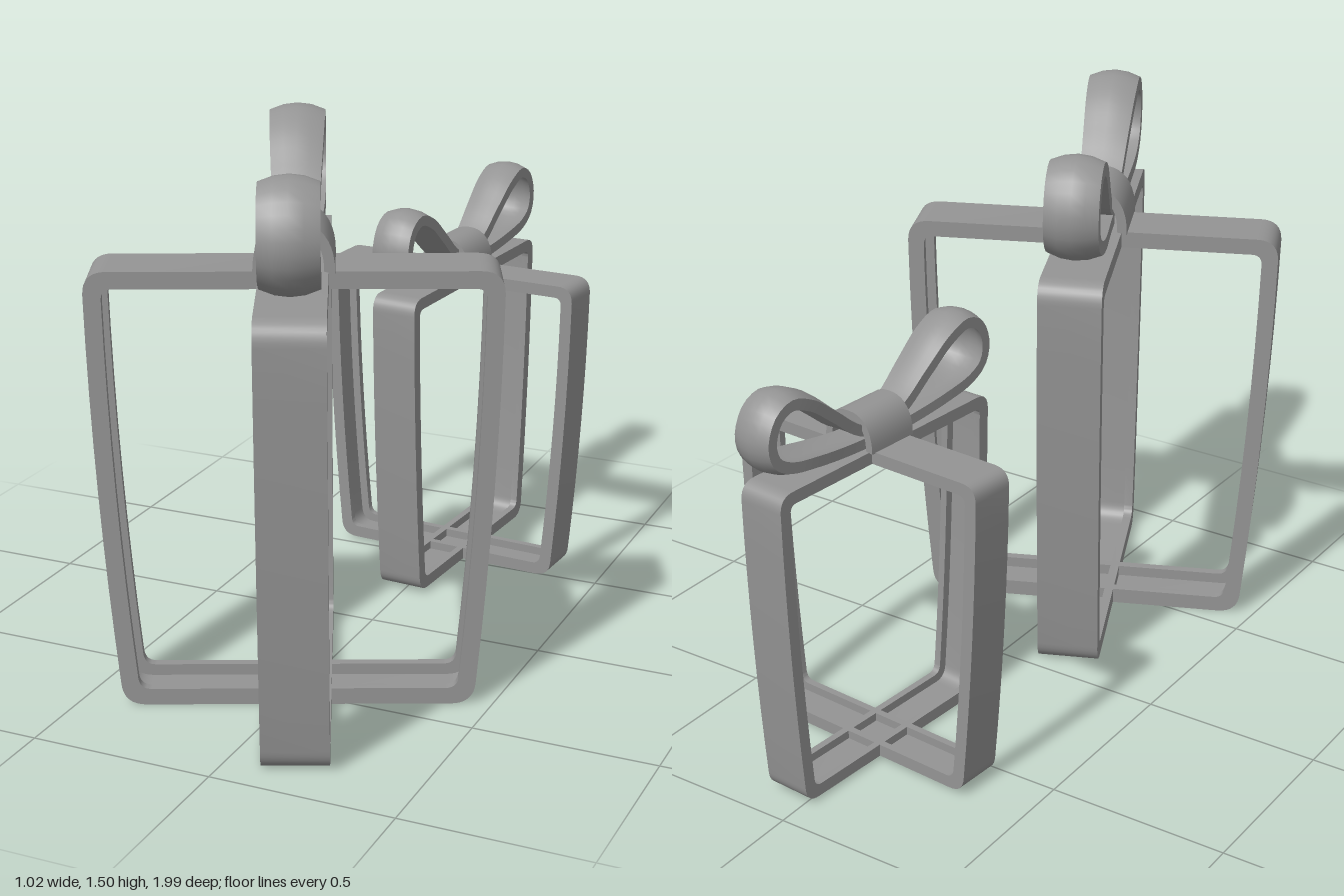
import * as THREE from 'three';
import { toCreasedNormals } from 'three/addons/utils/BufferGeometryUtils.js';

const HEIGHT = 1.18, HALF_RIBBON = 0.086, RIM = 0.026, RIM_DEPTH = 0.045, SKIN = 0.014;
const material = new THREE.MeshStandardMaterial({ color: 0x949494, side: THREE.DoubleSide });

// Skin a row of closed cross-sections, each a list of [x, y, z]
function loft(rings) {
  const n = rings[0].length, index = [];
  for (let i = 0; i < rings.length - 1; i++) {
    for (let j = 0; j < n; j++) {
      const a = i * n + j, b = i * n + (j + 1) % n;
      index.push(a, b, a + n, b, b + n, a + n);
    }
  }
  const geo = new THREE.BufferGeometry();
  geo.setAttribute('position', new THREE.Float32BufferAttribute(rings.flat(2), 3));
  geo.setIndex(index);
  return geo;
}

function part(name, geo, rotY = 0) {
  const mesh = new THREE.Mesh(toCreasedNormals(geo, 0.6), material);
  mesh.name = name;
  mesh.rotation.y = rotY;
  return mesh;
}

// Rounded box outline, narrower at the foot, inset by t
function boxOutline(t) {
  const b = 0.459 - t, w = 0.523 - t, m = 0.515 - t, y0 = t, y1 = HEIGHT - t, r = 0.06 - 0.7 * t;
  const p = new THREE.Path();
  p.moveTo(-b + r, y0);
  p.lineTo(b - r, y0);
  p.quadraticCurveTo(b, y0, b + 0.005, y0 + r);
  p.quadraticCurveTo(m, 0.6, w, y1 - r);
  p.quadraticCurveTo(w, y1, w - r, y1);
  p.lineTo(-w + r, y1);
  p.quadraticCurveTo(-w, y1, -w, y1 - r);
  p.quadraticCurveTo(-m, 0.6, -b - 0.005, y0 + r);
  p.quadraticCurveTo(-b, y0, -b + r, y0);
  return p.getPoints(8);
}

// Hoop around the box: a channel, open inwards, with a rim along each edge
function hoopGeometry() {
  const h = HALF_RIBBON, g = HALF_RIBBON - RIM;
  const section = [[h, 0], [-h, 0], [-h, RIM_DEPTH], [-g, RIM_DEPTH], [-g, SKIN], [g, SKIN], [g, RIM_DEPTH], [h, RIM_DEPTH]];
  const outlines = section.map(([, inset]) => boxOutline(inset));
  return loft(outlines[0].map((_, i) =>
    section.map(([z], j) => [outlines[j][i].x, outlines[j][i].y, z])));
}

// Bow loop: a crowned strip that narrows towards the knot
function loopGeometry(stretch) {
  const curve = new THREE.CatmullRomCurve3([
    [0.02, 1.225], [0.11, 1.262], [0.22, 1.362], [0.32, 1.448], [0.41, 1.482], [0.482, 1.448],
    [0.518, 1.36], [0.497, 1.282], [0.43, 1.237], [0.3, 1.212], [0.1, 1.2], [0.02, 1.2],
  ].map(([r, y]) => new THREE.Vector3(r * stretch, y, 0)));
  const rings = [], steps = 44, half = 0.019;
  for (let i = 0; i <= steps; i++) {
    const p = curve.getPointAt(i / steps), t = curve.getTangentAt(i / steps);
    const k = THREE.MathUtils.smoothstep(p.x, 0.05, 0.4);
    const width = 0.058 + 0.015 * k, crown = 0.018 * k;
    const point = (s, side) => {
      const d = side * half - crown * s * s;
      return [p.x - t.y * d, p.y + t.x * d, s * width];
    };
    const across = [-1, -0.5, 0, 0.5, 1];
    rings.push([...across.map(s => point(s, 1)), ...across.map(s => point(-s, -1))]);
  }
  return loft(rings);
}

// Arched band over the centre of the bow
function knotGeometry() {
  const arch = (w, h, y) => Array.from({ length: 21 }, (_, i) => {
    const a = Math.PI * i / 20, c = Math.cos(a);
    return new THREE.Vector2(w * Math.sign(c) * Math.abs(c) ** 0.85, y + h * Math.sin(a) ** 0.85);
  });
  const outer = arch(0.102, 0.132, HEIGHT - 0.002), inner = arch(0.075, 0.1, HEIGHT + 0.004);
  const shape = new THREE.Shape([...outer, ...inner.reverse()]);
  const geo = new THREE.ExtrudeGeometry(shape, { depth: 0.205, bevelEnabled: false });
  return geo.translate(0, 0, -0.1025);
}

function ribbonGift(name, stretch) {
  const gift = new THREE.Group();
  gift.name = name;
  // two crossing ribbon hoops
  gift.add(part('sideRibbon', hoopGeometry()));
  gift.add(part('frontRibbon', hoopGeometry(), Math.PI / 2));
  // bow: two loops along z and the knot
  const bow = new THREE.Group();
  bow.name = 'bow';
  bow.add(part('frontLoop', loopGeometry(stretch), -Math.PI / 2));
  bow.add(part('backLoop', loopGeometry(stretch), Math.PI / 2));
  bow.add(part('knot', knotGeometry()));
  gift.add(bow);
  return gift;
}

export function createModel() {
  const model = new THREE.Group();
  model.name = 'giftRibbons';

  const large = ribbonGift('largeGiftRibbon', 1);
  large.position.set(-0.001, 0, 0.479);
  large.rotation.y = 0.422;

  const small = ribbonGift('smallGiftRibbon', 1.06);
  small.scale.setScalar(0.76);
  small.position.set(0.022, 0.01, -0.565);
  small.rotation.y = -0.08;

  model.add(large, small);
  return model;
}
